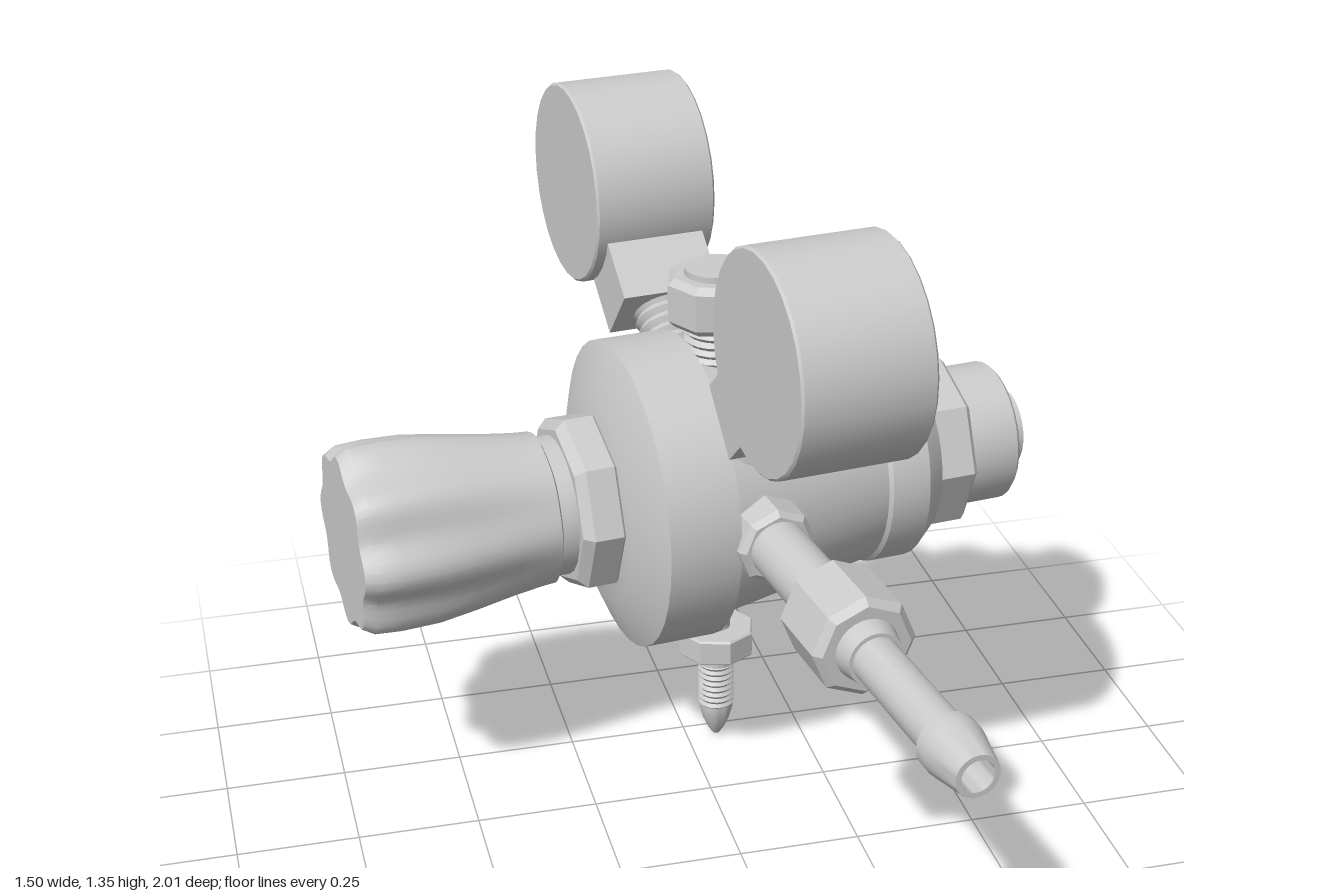
import * as THREE from 'three';
import { toCreasedNormals } from 'three/addons/utils/BufferGeometryUtils.js';

const material = new THREE.MeshStandardMaterial({ color: 0xcccccc });

// Turned part: profile is a list of [position along axis, radius]
function turned(name, profile, sides = 28) {
  const points = profile.map(([along, r]) => new THREE.Vector2(r, along));
  const geometry = toCreasedNormals(new THREE.LatheGeometry(points, sides), 0.5);
  const mesh = new THREE.Mesh(geometry, material);
  mesh.name = name;
  return mesh;
}

// Chamfered nut with flat ends
function nut(name, from, to, radius, chamfer = 0.012, sides = 8) {
  return turned(name, [
    [from, 0], [from, radius - chamfer], [from + chamfer, radius],
    [to - chamfer, radius], [to, radius - chamfer], [to, 0],
  ], sides);
}

const rod = (name, from, to, radius, sides = 24) =>
  turned(name, [[from, 0], [from, radius], [to, radius], [to, 0]], sides);

// Threaded rod made of stacked ridges
function thread(name, from, to, radius, turns) {
  const profile = [[from, 0]];
  const pitch = (to - from) / turns;
  for (let i = 0; i < turns; i++) {
    profile.push([from + i * pitch, radius * 0.87], [from + (i + 0.5) * pitch, radius]);
  }
  profile.push([to, radius * 0.87], [to, 0]);
  return turned(name, profile, 20);
}

// Hand knob: turned shape with scalloped sides
function makeKnob() {
  const profile = [[-0.8, 0], [-0.8, 0.185], [-0.775, 0.2], [-0.72, 0.203], [-0.64, 0.2],
    [-0.56, 0.187], [-0.48, 0.172], [-0.42, 0.163], [-0.39, 0.16], [-0.385, 0.15], [-0.385, 0]];
  const geometry = new THREE.LatheGeometry(profile.map(([a, r]) => new THREE.Vector2(r, a)), 64);
  const p = geometry.attributes.position;
  for (let i = 0; i < p.count; i++) {
    const angle = Math.atan2(p.getX(i), p.getZ(i));
    const depth = THREE.MathUtils.mapLinear(p.getY(i), -0.8, -0.385, 0.13, 0.02);
    const k = 1 - depth * (0.5 - 0.5 * Math.cos(8 * angle));
    p.setXYZ(i, p.getX(i) * k, p.getY(i), p.getZ(i) * k);
  }
  const mesh = new THREE.Mesh(toCreasedNormals(geometry, 0.5), material);
  mesh.name = 'knob';
  return mesh;
}

// Round gauge on a threaded stem; tilt is measured from vertical
function makeGauge(name, tilt, distance) {
  const gauge = new THREE.Group();
  gauge.name = name;
  const dial = turned('gaugeCase', [
    [-0.133, 0], [-0.133, 0.212], [-0.128, 0.217], [0.128, 0.217], [0.133, 0.212], [0.133, 0],
  ], 28);
  dial.rotation.z = -Math.PI / 2;
  dial.position.y = distance;
  const block = new THREE.Mesh(new THREE.BoxGeometry(0.215, 0.17, 0.155), material);
  block.name = 'gaugeBlock';
  block.position.y = distance - 0.25;
  gauge.add(dial, block, thread('gaugeThread', 0.2, distance - 0.32, 0.07, 9));
  gauge.rotation.x = tilt;
  return gauge;
}

export function createModel() {
  const model = new THREE.Group();
  model.name = 'pressureRegulator';
  const valve = new THREE.Group();
  valve.name = 'valve';
  valve.position.set(0.065, 0.633, -0.21);
  valve.rotation.y = 0.1227;
  model.add(valve);

  // Body, knob and end fittings along the main axis
  const mainAxis = new THREE.Group();
  mainAxis.name = 'mainAxis';
  mainAxis.rotation.z = -Math.PI / 2;
  mainAxis.add(
    makeKnob(),
    rod('knobCollar', -0.4, -0.33, 0.145),
    nut('bonnetNut', -0.35, -0.25, 0.187, 0.02),
    turned('body', [
      [-0.265, 0], [-0.265, 0.215], [-0.22, 0.322], [-0.07, 0.322], [-0.065, 0.29],
      [0.3, 0.225], [0.3, 0],
    ], 36),
    turned('endCap', [
      [0.29, 0], [0.29, 0.222], [0.302, 0.233], [0.385, 0.233], [0.43, 0.195], [0.43, 0],
    ], 36),
    nut('endNut', 0.4, 0.52, 0.187, 0.01),
    turned('endFitting', [
      [0.5, 0], [0.5, 0.15], [0.63, 0.15], [0.637, 0.143], [0.637, 0],
    ]),
    rod('endStub', 0.62, 0.677, 0.085),
  );
  valve.add(mainAxis);

  // Outlet pipe with hose barb
  const outlet = new THREE.Group();
  outlet.name = 'outlet';
  outlet.rotation.x = Math.PI / 2;
  outlet.add(
    nut('outletCollar', 0.24, 0.345, 0.082),
    rod('outletPipe', 0.3, 0.6, 0.06),
    nut('outletNut', 0.585, 0.765, 0.105, 0.015),
    turned('hoseBarb', [
      [0.74, 0], [0.74, 0.064], [0.765, 0.064], [0.805, 0.055], [0.805, 0.047],
      [1.095, 0.047], [1.1, 0.06], [1.13, 0.06], [1.22, 0.043], [1.22, 0.032],
      [1.05, 0.032], [1.05, 0],
    ]),
  );
  valve.add(outlet);

  // Two gauges
  valve.add(
    makeGauge('frontGauge', 0.818, 0.732),
    makeGauge('backGauge', -0.87, 0.737),
  );

  // Top port with capped nut
  const topPort = new THREE.Group();
  topPort.name = 'topPort';
  topPort.add(
    thread('topThread', 0.22, 0.365, 0.068, 8),
    nut('topNut', 0.355, 0.46, 0.105, 0.014),
    rod('topPlug', 0.45, 0.473, 0.066),
  );
  valve.add(topPort);

  // Pointed relief screw underneath
  const relief = new THREE.Group();
  relief.name = 'reliefScrew';
  relief.position.y = -0.633;
  relief.add(
    rod('reliefStem', 0.2, 0.4, 0.03),
    nut('reliefNut', 0.217, 0.275, 0.084, 0.004),
    rod('reliefShank', 0.185, 0.22, 0.037),
    thread('reliefThread', 0.08, 0.19, 0.039, 8),
    turned('reliefTip', [
      [0, 0], [0.004, 0.008], [0.02, 0.018], [0.045, 0.029], [0.07, 0.036], [0.085, 0.037], [0.085, 0],
    ]),
  );
  valve.add(relief);
  return model;
}
